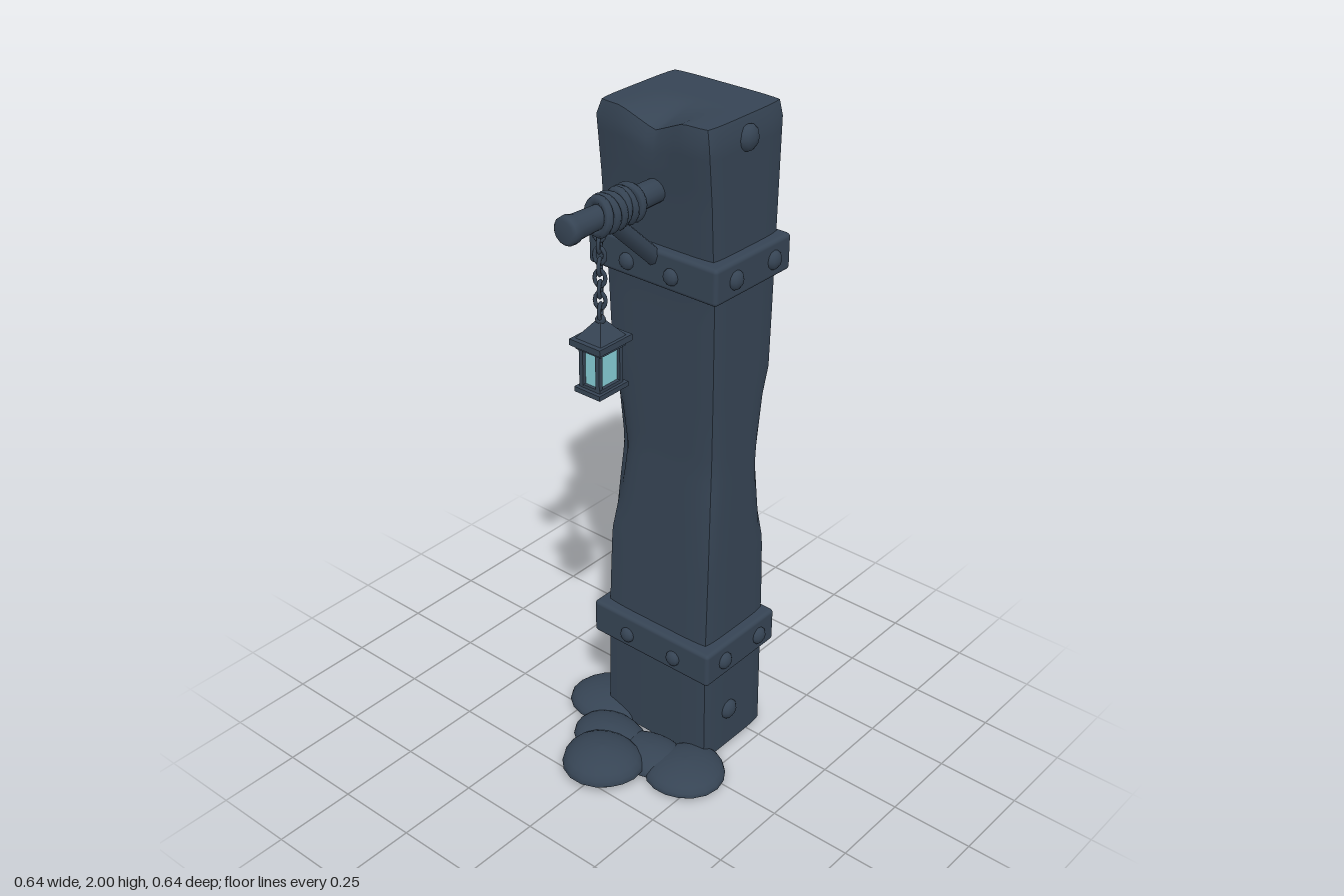
import * as THREE from 'three';
import { RoundedBoxGeometry } from 'three/addons/geometries/RoundedBoxGeometry.js';

export function createModel() {
  const root = new THREE.Group();
  const slate = new THREE.MeshStandardMaterial({ color: 0x364454 });
  slate.name = 'slate';
  const glass = new THREE.MeshStandardMaterial({ color: 0x86cdd6 });
  glass.name = 'paleGlass';

  const add = (name, geo, x = 0, y = 0, z = 0, parent = root, mat = slate) => {
    const m = new THREE.Mesh(geo, mat);
    m.name = name;
    m.position.set(x, y, z);
    parent.add(m);
    return m;
  };
  // piecewise linear lookup in [[y, value], ...]
  const lerpTable = (t, y) => {
    for (let i = 1; i < t.length; i++) {
      if (y <= t[i][0]) return THREE.MathUtils.mapLinear(y, t[i - 1][0], t[i][0], t[i - 1][1], t[i][1]);
    }
    return t[t.length - 1][1];
  };

  // Post: a box whose sides follow profiles, with worn corners and a notched top
  const left = [[0, -0.178], [0.5, -0.172], [0.85, -0.165], [1, -0.16], [1.3, -0.165], [1.6, -0.175], [2, -0.172]];
  const right = [[0, 0.208], [1, 0.2], [2, 0.208]];
  const front = [[0, -0.036], [0.4, -0.036], [1, -0.054], [1.5, -0.044], [1.8, -0.022], [2, 0]];
  const back = [[0, -0.313], [0.5, -0.31], [0.95, -0.298], [1.4, -0.306], [2, -0.313]];
  const postGeo = new THREE.BoxGeometry(1, 1, 1, 16, 50, 12);
  const p = postGeo.attributes.position;
  for (let i = 0; i < p.count; i++) {
    const u = p.getX(i) * 2, w = p.getZ(i) * 2, v = p.getY(i) + 0.5;
    let y = 0.01 + 1.99 * v;
    let x = THREE.MathUtils.lerp(lerpTable(left, y), lerpTable(right, y), (u + 1) / 2);
    let z = THREE.MathUtils.lerp(lerpTable(back, y), lerpTable(front, y), (w + 1) / 2);
    const corner = Math.pow(Math.abs(u * w), 5);
    const isWorn = u * w < 0;
    const waist = Math.max(0, 1 - Math.abs(y - 0.96) / 0.28);
    const pull = corner * (0.006 + (isWorn ? 0.03 : 0.008) * waist);
    x -= Math.sign(u) * pull;
    z -= Math.sign(w) * pull;
    if (v > 0.999) {
      x -= u * 0.012;
      z -= w > 0 ? w * 0.012 : 0;
    }
    const notch = Math.max(0, 1 - Math.abs(x - 0.015) / 0.1) * Math.max(0, w);
    const nearTop = THREE.MathUtils.smoothstep(y, 1.85, 2);
    y -= 0.045 * notch * nearTop;
    z -= 0.015 * notch * nearTop;
    p.setXYZ(i, x, y, z);
  }
  postGeo.computeVertexNormals();
  add('post', postGeo);

  // Rivets: flattened domes facing along a side axis
  const rivet = (x, y, z, axis, r = 0.024) => {
    const m = add('rivet', new THREE.SphereGeometry(r, 10, 6), x, y, z);
    m.scale[axis] = 0.65;
  };

  // Bands with rivets on the front and both sides
  for (const [y, h, fx] of [[1.592, 0.105, [-0.06, 0.09]], [0.375, 0.11, [-0.065, 0.11]]]) {
    add('band', new RoundedBoxGeometry(0.435, h, 0.316, 2, 0.012), 0.02, y, -0.162);
    for (const x of fx) rivet(x, y - 0.008, -0.002, 'z');
    for (const z of [-0.085, -0.245]) {
      rivet(0.238, y, z, 'x', 0.027);
      rivet(-0.198, y, z, 'x', 0.027);
    }
  }
  rivet(0.206, 1.945, -0.16, 'x', 0.036);
  rivet(-0.172, 1.945, -0.18, 'x', 0.036);
  rivet(0.206, 0.14, -0.15, 'x', 0.032);

  // Beam along z with softened end
  const beamX = 0.02, beamY = 1.797;
  const beamGeo = new THREE.LatheGeometry([
    [0, -0.08], [0.032, -0.08], [0.034, 0.05], [0.031, 0.2], [0.034, 0.28], [0.039, 0.295], [0.038, 0.312], [0.03, 0.32], [0, 0.32],
  ].map(([r, t]) => new THREE.Vector2(r, t)), 14);
  add('beam', beamGeo, beamX, beamY, 0).rotation.x = Math.PI / 2;

  // Rope turns wrapped around the beam, each leaning a little
  for (let i = 0; i < 6; i++) {
    const t = add('ropeTurn', new THREE.TorusGeometry(0.039, 0.0125, 7, 18), beamX, beamY, 0.077 + i * 0.023);
    t.rotation.set(Math.sin(i * 2.3) * 0.15, Math.cos(i * 1.9) * 0.15, 0);
    t.scale.y = 1.08;
  }

  // Diagonal brace from the upper band to the beam
  const bracePath = new THREE.LineCurve3(new THREE.Vector3(beamX, 1.605, -0.03), new THREE.Vector3(beamX, 1.785, 0.165));
  add('brace', new THREE.TubeGeometry(bracePath, 1, 0.024, 8));

  // Chain of alternating links
  const lx = 0.015, lz = 0.185;
  for (let i = 0; i < 8; i++) {
    const link = add('chainLink', new THREE.TorusGeometry(0.014, 0.0055, 6, 12), lx, 1.75 - i * 0.031, lz);
    link.scale.y = 1.45;
    link.rotation.y = (i % 2) * Math.PI / 2 + 0.5;
  }

  // Lantern
  const lantern = new THREE.Group();
  lantern.name = 'lantern';
  lantern.position.set(lx, 0, lz);
  root.add(lantern);
  const box = (name, w, h, d, x, y, z, mat) => add(name, new THREE.BoxGeometry(w, h, d), x, y, z, lantern, mat);
  box('lanternBase', 0.088, 0.014, 0.112, 0, 1.317, 0);
  box('lanternSill', 0.07, 0.01, 0.09, 0, 1.328, 0);
  box('lanternGlass', 0.05, 0.112, 0.072, 0, 1.387, 0, glass);
  for (const sx of [-1, 1]) for (const sz of [-1, 1]) {
    box('lanternPost', 0.013, 0.115, 0.013, sx * 0.028, 1.387, sz * 0.04);
  }
  box('lanternEave', 0.105, 0.018, 0.125, 0, 1.453, 0);
  box('lanternCollar', 0.085, 0.012, 0.1, 0, 1.438, 0);
  const roofGeo = new THREE.CylinderGeometry(0.014, 0.062, 0.045, 4, 1).toNonIndexed();
  roofGeo.rotateY(Math.PI / 4);
  roofGeo.computeVertexNormals();
  add('lanternRoof', roofGeo, 0, 1.484, 0, lantern).scale.z = 1.12;
  add('lanternFinial', new THREE.SphereGeometry(0.014, 10, 8), 0, 1.51, 0, lantern);

  // Flat stones around the foot: x, y, z, half sizes, outline phase
  const stones = [
    [-0.195, 0.015, -0.07, 0.125, 0.045, 0.12, 0],
    [0.2, 0.015, 0.04, 0.118, 0.045, 0.122, 1],
    [-0.075, 0.015, 0.065, 0.125, 0.05, 0.095, 2],
    [0.075, 0.015, 0.055, 0.12, 0.045, 0.09, 4],
    [-0.008, 0.03, 0.178, 0.125, 0.06, 0.118, 3],
  ];
  for (const [x, y, z, a, b, c, phase] of stones) {
    const g = new THREE.SphereGeometry(1, 18, 12);
    const q = g.attributes.position;
    for (let i = 0; i < q.count; i++) {
      const ang = Math.atan2(q.getZ(i), q.getX(i));
      const k = 1 + 0.025 * Math.sin(3 * ang + phase);
      const h = q.getY(i);
      q.setXYZ(i, q.getX(i) * a * k, h > 0 ? h * b : h * 0.015, q.getZ(i) * c * k);
    }
    g.computeVertexNormals();
    add('stone', g, x, y, z);
  }
  return root;
}
